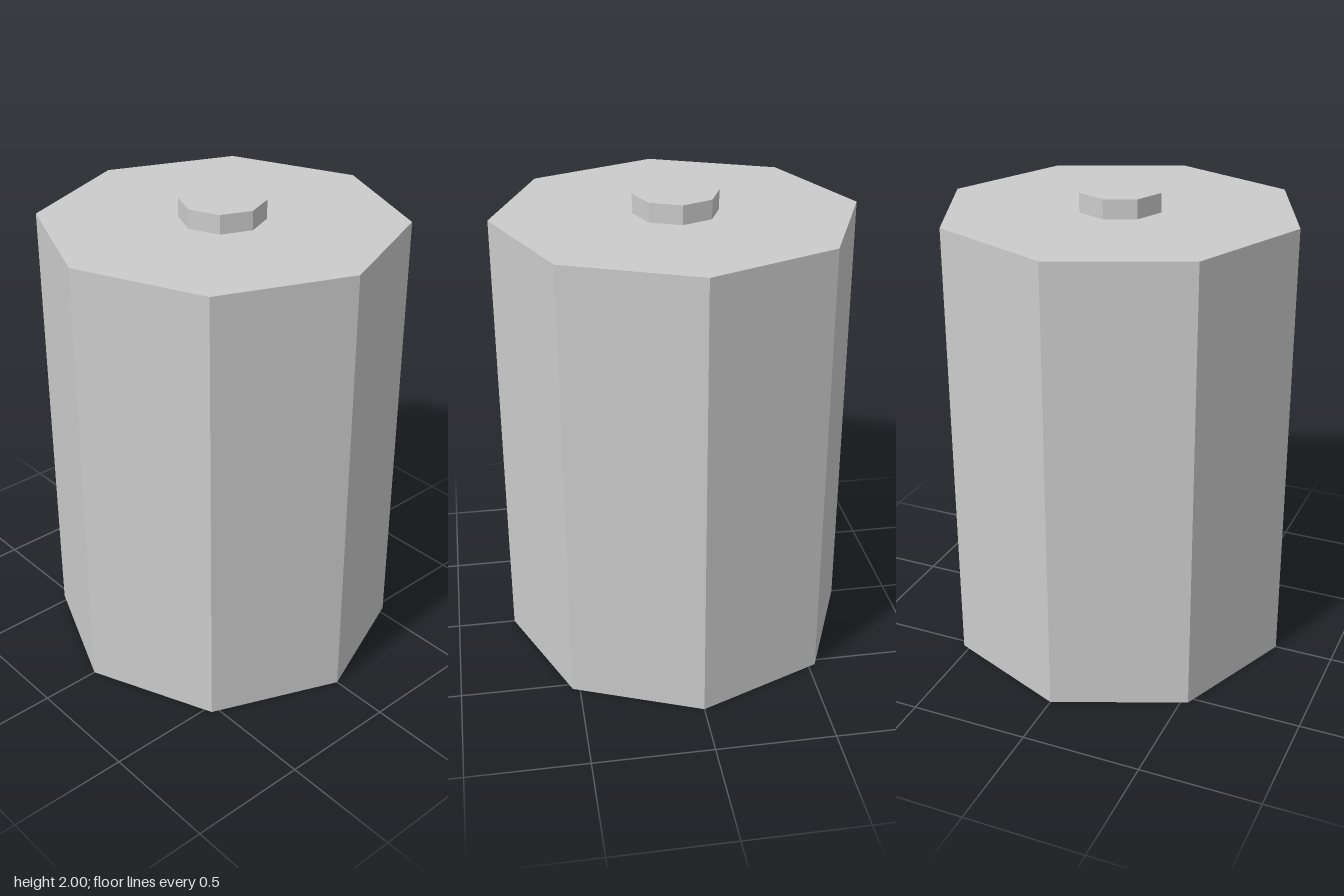
import * as THREE from 'three';

const SIDES = 8;

export function createModel() {
  const group = new THREE.Group();
  group.name = 'battery';
  const material = new THREE.MeshStandardMaterial({ color: 0xcccccc, flatShading: true });

  // Upright octagonal prism standing on the given height
  const addPrism = (name, radius, bottom, top) => {
    const height = top - bottom;
    const mesh = new THREE.Mesh(new THREE.CylinderGeometry(radius, radius, height, SIDES), material);
    mesh.name = name;
    mesh.position.y = bottom + height / 2;
    group.add(mesh);
  };

  addPrism('body', 0.75, 0, 1.92);
  // Raised contact in the middle of the top
  addPrism('topTerminal', 0.177, 1.92, 2);

  return group;
}
